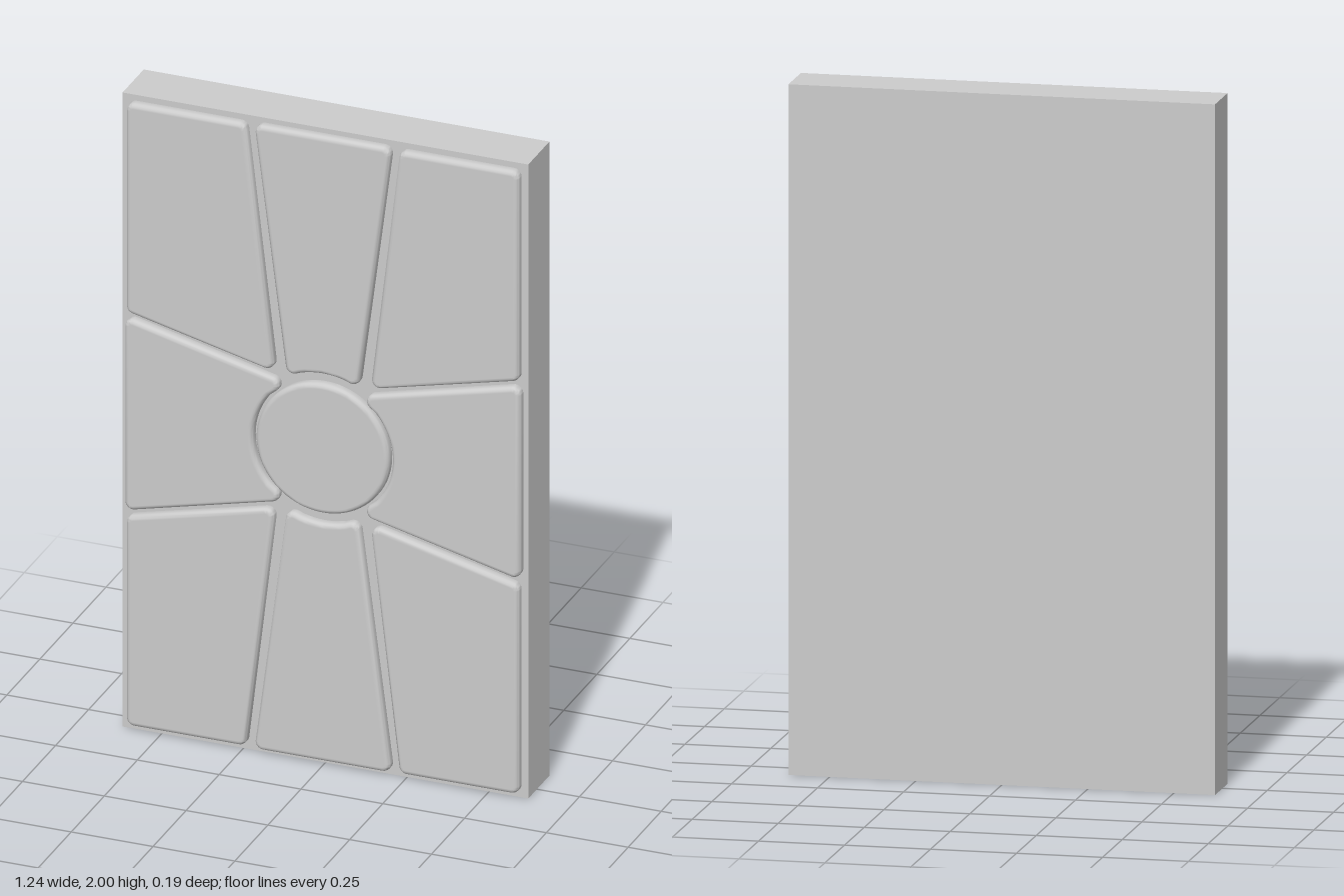
import * as THREE from 'three';
import { toCreasedNormals } from 'three/addons/utils/BufferGeometryUtils.js';

const material = new THREE.MeshStandardMaterial({ color: 0xcccccc });
const FACE = 0.065;   // front of the slab
const FRONT = 0.093;  // front of the raised panels
const BEVEL = 0.015;
const CORNER = 0.024;

// Points on a circle round the middle of the slab, keeping clear of both end corners
function arc(radius, from, to, gap, steps) {
  const points = [];
  const dir = Math.sign(to - from);
  for (let i = 0; i <= steps; i++) {
    const a = THREE.MathUtils.lerp(from + dir * gap, to - dir * gap, i / steps);
    points.push([Math.cos(a) * radius, Math.sin(a) * radius]);
  }
  return points;
}

// Closed outline whose sharp corners are replaced by tangent arcs
function roundedShape(outline) {
  let pts = outline.map(([x, y]) => new THREE.Vector2(x, y));
  if (THREE.ShapeUtils.area(pts) < 0) pts = pts.reverse();
  const shape = new THREE.Shape();
  const n = pts.length;
  pts.forEach((p, i) => {
    const u = pts[(i + n - 1) % n].clone().sub(p);
    const v = pts[(i + 1) % n].clone().sub(p);
    const room = Math.min(u.length(), v.length()) * 0.95;
    u.normalize();
    v.normalize();
    const turn = Math.PI - Math.acos(THREE.MathUtils.clamp(u.dot(v), -1, 1));
    if (turn < 0.5) {
      if (i === 0) shape.moveTo(p.x, p.y);
      else shape.lineTo(p.x, p.y);
      return;
    }
    const k = Math.tan(turn / 2);
    const t = Math.min(CORNER * k, room);
    const r = t / k;
    const c = u.clone().add(v).normalize().multiplyScalar(Math.hypot(t, r)).add(p);
    const a = p.clone().addScaledVector(u, t).sub(c);
    const b = p.clone().addScaledVector(v, t).sub(c);
    shape.absarc(c.x, c.y, r, Math.atan2(a.y, a.x), Math.atan2(b.y, b.x), false);
  });
  shape.closePath();
  return shape;
}

// Raised panel with a rounded front edge, its back sunk into the slab
function panel(name, shape, curveSegments = 4) {
  const back = FACE - BEVEL - 0.005;
  let geometry = new THREE.ExtrudeGeometry(shape, {
    depth: FRONT - back - 2 * BEVEL,
    bevelThickness: BEVEL,
    bevelSize: BEVEL,
    bevelOffset: -BEVEL,
    bevelSegments: 4,
    curveSegments,
  });
  geometry.translate(0, 1, back + BEVEL);
  geometry = toCreasedNormals(geometry, 0.7);
  // keep the front face perfectly flat in shading
  const { position, normal } = geometry.attributes;
  for (let i = 0; i < position.count; i++) {
    if (position.getZ(i) > FRONT - 1e-5) normal.setXYZ(i, 0, 0, 1);
  }
  const mesh = new THREE.Mesh(geometry, material);
  mesh.name = name;
  return mesh;
}

export function createModel() {
  const group = new THREE.Group();
  group.name = 'panelledSlab';

  const slab = new THREE.Mesh(new THREE.BoxGeometry(1.24, 2, 0.16), material);
  slab.name = 'slab';
  slab.position.set(0, 1, FACE - 0.08);
  group.add(slab);

  const flip = (outline, sx, sy) => outline.map(([x, y]) => [x * sx, y * sy]);

  // Outlines of the upper or left panels, measured from the slab's middle
  const middle = [
    [0.21, 0.985], [-0.21, 0.985], [-0.11, 0.208],
    ...arc(0.235, Math.atan2(0.208, -0.11), Math.atan2(0.208, 0.11), 0.2, 8),
    [0.11, 0.208],
  ];
  const corner = [[0.6, 0.982], [0.235, 0.982], [0.145, 0.213], [0.6, 0.322]];
  const tip = Math.atan2(0.185, 0.105);
  const side = [
    [0.605, 0.307], [0.105, 0.185],
    ...arc(0.213, tip, -tip, 0.35, 14),
    [0.105, -0.185], [0.605, -0.307],
  ];

  for (const [row, sy] of [['upper', 1], ['lower', -1]]) {
    group.add(panel(row + 'MiddlePanel', roundedShape(flip(middle, 1, sy))));
    for (const [hand, sx] of [['Left', 1], ['Right', -1]]) {
      group.add(panel(row + hand + 'Panel', roundedShape(flip(corner, sx, sy))));
    }
  }
  for (const [hand, sx] of [['left', 1], ['right', -1]]) {
    group.add(panel(hand + 'SidePanel', roundedShape(flip(side, sx, 1))));
  }

  // Round boss in the middle
  const disc = new THREE.Shape().absarc(0, 0, 0.204, 0, Math.PI * 2, false);
  group.add(panel('centreDisc', disc, 32));

  return group;
}
